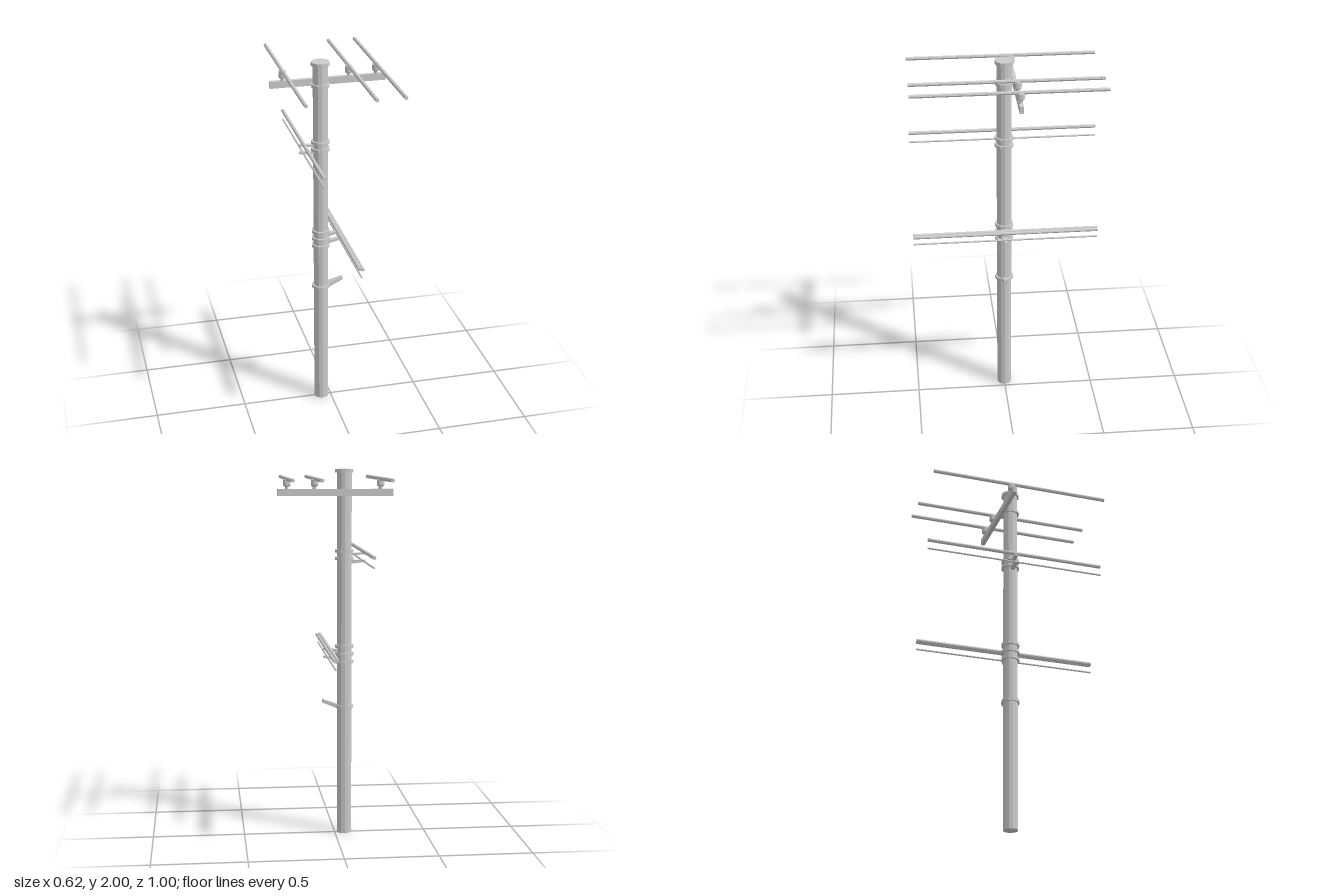
import * as THREE from 'three';

const POLE_X = -0.053;

export function createModel() {
  const root = new THREE.Group();
  const material = new THREE.MeshStandardMaterial({ color: 0xcccccc, flatShading: true });

  function add(name, geometry, x, y, z, parent = root) {
    const mesh = new THREE.Mesh(geometry, material);
    mesh.name = name;
    mesh.position.set(x, y, z);
    parent.add(mesh);
    return mesh;
  }

  // Wire running front to back
  function wire(name, x, y, radius) {
    const geometry = new THREE.CylinderGeometry(radius, radius, 1, 8).rotateX(Math.PI / 2);
    add(name, geometry, x, y, 0);
  }

  // Tapered arm between two rectangular ends: { x, low, high, halfWidth }
  function bracket(name, root_, tip) {
    const geometry = new THREE.BoxGeometry(1, 1, 1);
    const p = geometry.attributes.position;
    const [a, b] = root_.x < tip.x ? [root_, tip] : [tip, root_];
    for (let i = 0; i < p.count; i++) {
      const end = p.getX(i) < 0 ? a : b;
      p.setXYZ(i, end.x, p.getY(i) < 0 ? end.low : end.high, Math.sign(p.getZ(i)) * end.halfWidth);
    }
    geometry.computeVertexNormals();
    add(name, geometry, 0, 0, 0);
  }

  // Pole, top cap and clamp bands
  add('pole', new THREE.CylinderGeometry(0.04, 0.04, 1.99, 12), POLE_X, 0.995, 0);
  add('poleCap', new THREE.CylinderGeometry(0.05, 0.05, 0.018, 12), POLE_X, 1.991, 0);
  for (const y of [1.875, 1.562, 1.522, 1.044, 1.002, 0.959, 0.711]) {
    add('clampBand', new THREE.CylinderGeometry(0.05, 0.05, 0.016, 12), POLE_X, y, 0);
  }

  // Crossarm on the back of the pole, carrying three insulators and wires
  const armZ = -0.054;
  add('crossarm', new THREE.BoxGeometry(0.62, 0.037, 0.021), 0, 1.877, armZ);
  const profile = [[0, 0], [0.01, 0], [0.01, 0.014], [0.017, 0.017], [0.02, 0.022],
    [0.02, 0.05], [0.016, 0.056], [0, 0.056]].map(([r, y]) => new THREE.Vector2(r, y));
  for (const x of [-0.241, 0.112, 0.259]) {
    add('insulator', new THREE.LatheGeometry(profile, 12), x, 1.894, armZ);
    wire('topWire', x, 1.95, 0.01);
  }

  // Middle pair of brackets on the right side
  bracket('upperRightBracket', { x: -0.09, low: 1.538, high: 1.55, halfWidth: 0.01 },
    { x: -0.167, low: 1.544, high: 1.554, halfWidth: 0.01 });
  bracket('lowerRightBracket', { x: -0.09, low: 1.494, high: 1.514, halfWidth: 0.01 },
    { x: -0.167, low: 1.502, high: 1.514, halfWidth: 0.01 });
  wire('rightThickWire', -0.15, 1.564, 0.01);
  wire('rightThinWire', -0.15, 1.512, 0.005);

  // Lower brackets on the left side
  for (const y of [1.018, 0.975]) {
    bracket('leftBracket', { x: -0.02, low: y - 0.008, high: y + 0.01, halfWidth: 0.017 },
      { x: 0.062, low: y + 0.007, high: y + 0.016, halfWidth: 0.01 });
  }
  wire('leftThickWire', 0.035, 1.042, 0.01);
  wire('leftOuterWire', 0.051, 1.039, 0.009);
  wire('leftThinWire', 0.045, 0.995, 0.005);

  // Lowest step bracket with a raised tip
  bracket('stepBracket', { x: -0.02, low: 0.7, high: 0.722, halfWidth: 0.021 },
    { x: 0.068, low: 0.734, high: 0.752, halfWidth: 0.011 });

  return root;
}
